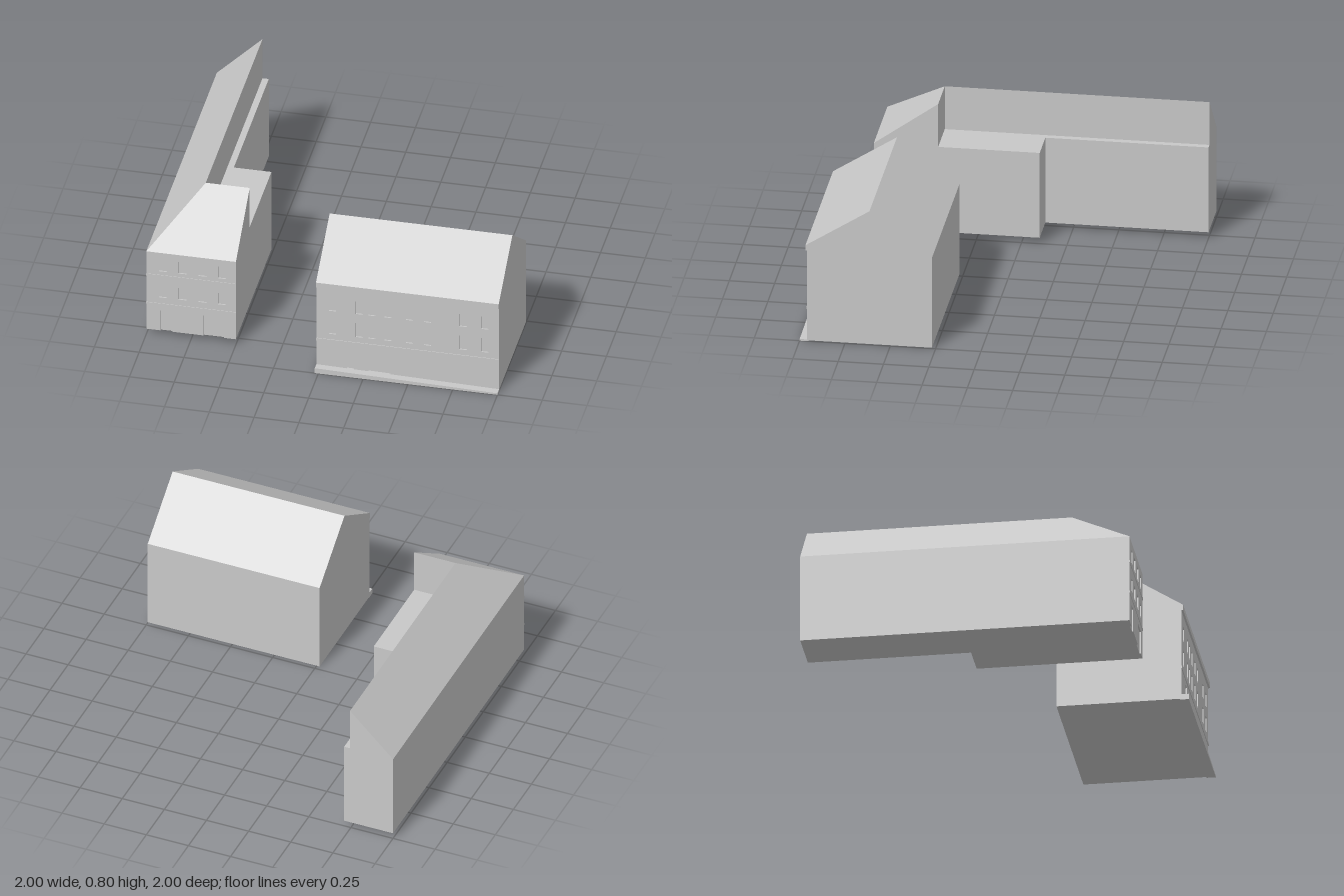
import * as THREE from 'three';

const plaster = new THREE.MeshStandardMaterial({ color: 0xc8c8c8 });
plaster.name = 'grey plaster';

function add(parent, name, geometry) {
  const mesh = new THREE.Mesh(geometry, plaster);
  mesh.name = name;
  parent.add(mesh);
  return mesh;
}

function box(parent, name, x0, x1, y0, y1, z0, z1) {
  const mesh = add(parent, name, new THREE.BoxGeometry(x1 - x0, y1 - y0, z1 - z0));
  mesh.position.set((x0 + x1) / 2, (y0 + y1) / 2, (z0 + z1) / 2);
  return mesh;
}

function polygon(points) {
  return new THREE.Shape(points.map(([x, y]) => new THREE.Vector2(x, y)));
}

function extrude(points, depth) {
  return new THREE.ExtrudeGeometry(polygon(points), { depth, bevelEnabled: false });
}

// Profile drawn in (z, y), swept along x
function sweepX(points, x0, x1) {
  const geometry = extrude(points.map(([z, y]) => [-z, y]), x1 - x0);
  return geometry.rotateY(Math.PI / 2).translate(x0, 0, 0);
}

// Flat-faced geometry from named corners and polygon faces
function faceted(corners, faces) {
  const positions = [];
  for (const face of faces) {
    for (let i = 1; i < face.length - 1; i++) {
      for (const key of [face[0], face[i], face[i + 1]]) positions.push(...corners[key]);
    }
  }
  const geometry = new THREE.BufferGeometry();
  geometry.setAttribute('position', new THREE.Float32BufferAttribute(positions, 3));
  geometry.computeVertexNormals();
  return geometry;
}

// Front skin with door notches along the bottom and window openings
function facade(parent, x0, x1, y0, y1, z, depth, doors, windows) {
  const outline = [[x0, y0]];
  for (const [a, b, top] of doors) outline.push([a, y0], [a, top], [b, top], [b, y0]);
  outline.push([x1, y0], [x1, y1], [x0, y1]);
  const shape = polygon(outline);
  for (const [a, b, c, d] of windows) {
    shape.holes.push(polygon([[a, c], [a, d], [b, d], [b, c]]));
  }
  const geometry = new THREE.ExtrudeGeometry(shape, { depth, bevelEnabled: false });
  add(parent, 'facade', geometry.translate(0, 0, z - depth));
}

function createCornerHouse() {
  const house = new THREE.Group();
  house.name = 'cornerHouse';

  // L-shaped walls with a flat top
  const plan = [[-1, -0.807], [-0.5, -0.807], [-0.5, 0.1], [-0.71, 0.1], [-0.71, 1], [-1, 1]];
  add(house, 'walls', extrude(plan, 0.505).rotateX(-Math.PI / 2).translate(0, 0.035, 0));

  // Half roof: one slope to the street, one to the side, upright inner walls
  const corners = {
    a: [-1, 0.54, 0.815], b: [-0.5, 0.54, 0.815], c: [-0.5, 0.795, 0.46],
    d: [-0.745, 0.795, 0.46], e: [-0.745, 0.795, -1], f: [-1, 0.54, -1],
    g: [-0.5, 0.54, 0.46], h: [-0.745, 0.54, 0.46], i: [-0.745, 0.54, -1],
  };
  add(house, 'roof', faceted(corners, ['abcd', 'adef', 'ghdc', 'hied', 'bgc', 'fei']));

  // Street front
  const windows = [];
  for (const x of [-0.93, -0.82, -0.71, -0.6]) {
    for (const y of [0.25, 0.42]) windows.push([x, x + 0.045, y, y + 0.075]);
  }
  const doors = [[-0.92, -0.855, 0.165], [-0.68, -0.565, 0.165]];
  facade(house, -1, -0.5, 0.035, 0.54, 0.815, 0.008, doors, windows);
  for (const y of [0.2, 0.385]) box(house, 'stringCourse', -1, -0.5, y, y + 0.012, 0.814, 0.818);
  return house;
}

function createGabledHouse() {
  const house = new THREE.Group();
  house.name = 'gabledHouse';

  // Walls and saddle roof with a boxed front eave
  const profile = [
    [0.27, 0.005], [0.95, 0.005], [0.95, 0.535], [0.968, 0.54],
    [0.968, 0.57], [0.615, 0.795], [0.27, 0.54],
  ];
  add(house, 'wallsAndRoof', sweepX(profile, -0.02, 1));

  // Street front
  const windows = [];
  for (const x of [0.05, 0.2, 0.27, 0.36, 0.48, 0.58, 0.78, 0.9]) {
    windows.push([x, x + 0.04, 0.24, 0.33], [x, x + 0.04, 0.39, 0.47]);
  }
  const doors = [[0.15, 0.19, 0.165], [0.27, 0.395, 0.125]];
  facade(house, -0.02, 1, 0.005, 0.54, 0.958, 0.008, doors, windows);
  box(house, 'stringCourse', -0.02, 1, 0.19, 0.205, 0.957, 0.962);

  // Pavement falling towards the left end
  const slab = [[-0.02, 0], [1, 0], [1, 0.01], [-0.02, 0.032]];
  add(house, 'pavement', extrude(slab, 0.05).translate(0, 0, 0.95));
  return house;
}

export function createModel() {
  const model = new THREE.Group();
  model.name = 'streetHouses';
  model.add(createCornerHouse(), createGabledHouse());
  return model;
}
